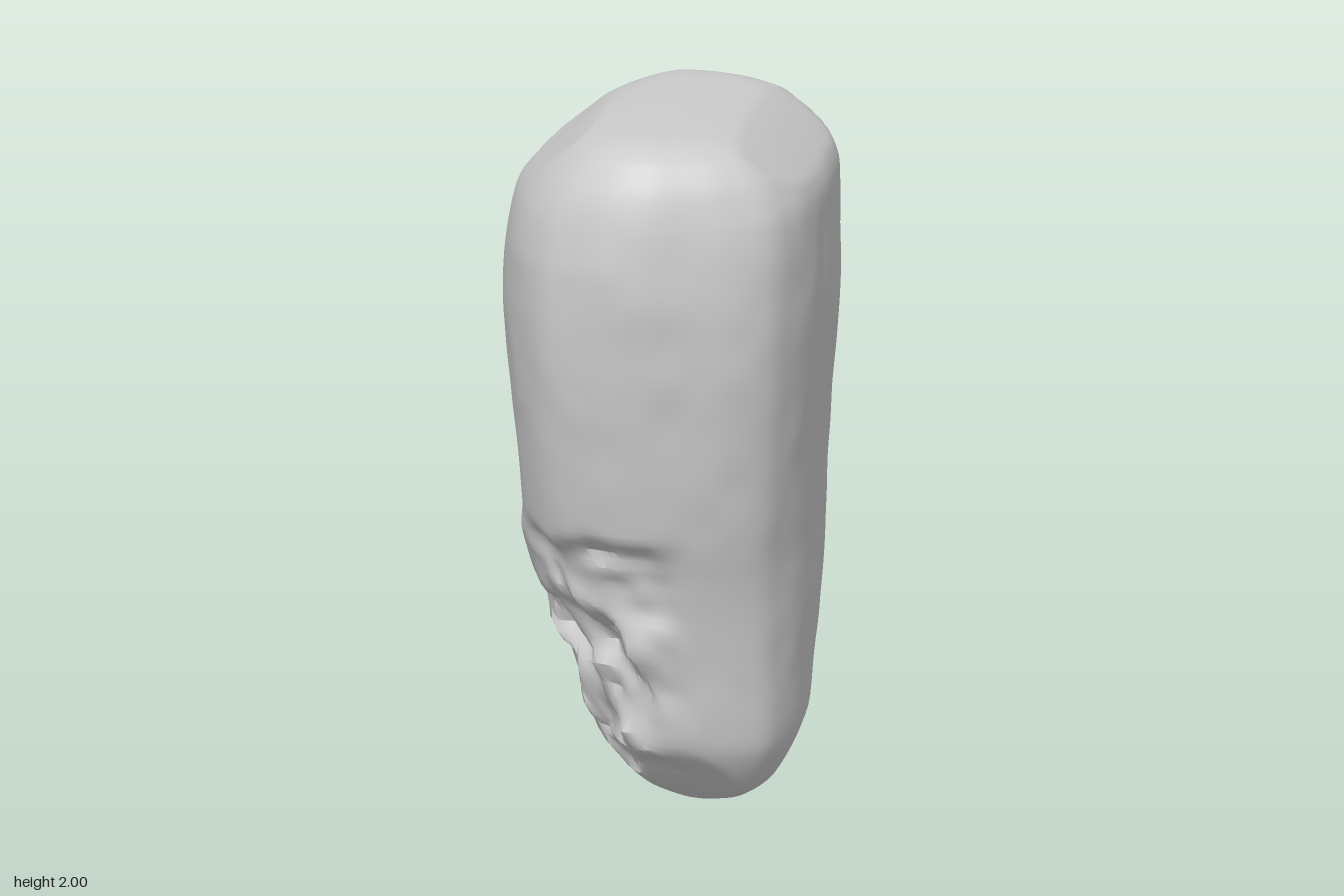
import * as THREE from 'three';
import { toCreasedNormals } from 'three/addons/utils/BufferGeometryUtils.js';

const { smoothstep, lerp } = THREE.MathUtils;

// Seeded value noise in 3D, range -1..1
function hash(x, y, z) {
  let h = Math.imul(x, 374761393) ^ Math.imul(y, 668265263) ^ Math.imul(z, 1274126177);
  h = Math.imul(h ^ (h >>> 13), 1103515245);
  return (((h ^ (h >>> 16)) >>> 0) / 4294967295) * 2 - 1;
}
function noise(x, y, z) {
  const ix = Math.floor(x), iy = Math.floor(y), iz = Math.floor(z);
  const s = t => t * t * (3 - 2 * t);
  const u = s(x - ix), v = s(y - iy), w = s(z - iz);
  const row = (b, c) => lerp(hash(ix, iy + b, iz + c), hash(ix + 1, iy + b, iz + c), u);
  return lerp(lerp(row(0, 0), row(1, 0), v), lerp(row(0, 1), row(1, 1), v), w);
}

// Extents of the stone by height: y, xMin, xMax, zMin, zMax
const levels = [
  [0, 0.13, 0.13, 0.01, 0.01], [0.004, 0.08, 0.18, -0.04, 0.07], [0.02, 0.03, 0.24, -0.1, 0.13],
  [0.07, -0.08, 0.31, -0.21, 0.2], [0.2, -0.21, 0.37, -0.31, 0.285], [0.4, -0.3, 0.385, -0.41, 0.325],
  [0.58, -0.345, 0.39, -0.45, 0.352], [0.72, -0.385, 0.395, -0.46, 0.382],
  [0.85, -0.402, 0.405, -0.46, 0.418], [1.0, -0.412, 0.415, -0.465, 0.448], [1.2, -0.432, 0.427, -0.475, 0.47],
  [1.35, -0.443, 0.438, -0.475, 0.485], [1.5, -0.448, 0.446, -0.475, 0.488], [1.65, -0.44, 0.447, -0.468, 0.48],
  [1.78, -0.41, 0.44, -0.455, 0.46], [1.88, -0.34, 0.39, -0.43, 0.43], [1.95, -0.26, 0.31, -0.405, 0.385],
  [1.985, -0.16, 0.2, -0.36, 0.32], [1.997, -0.07, 0.09, -0.28, 0.22], [2, 0.01, 0.01, -0.03, -0.03],
];

// Cross-section, fitted to -1..1, running from +x towards +z
const outline = [
  [1, 0], [0.98, 0.25], [0.92, 0.48], [0.82, 0.68], [0.6, 0.83], [0.3, 0.93], [0, 1],
  [-0.3, 0.99], [-0.62, 0.87], [-0.85, 0.58], [-0.97, 0.25], [-1, 0], [-0.94, -0.25],
  [-0.79, -0.6], [-0.61, -0.82], [-0.33, -0.97], [0, -1], [0.4, -0.98], [0.72, -0.92],
  [0.93, -0.78], [0.985, -0.45],
];

// Flat facets worn into the foot and the upper edges: unit normal and distance
const facets = [
  [[0, -0.54, -0.85], 0.14], [[0, -0.66, 0.75], 0.077], [[-0.55, -0.45, -0.7], 0.165],
  [[0.6, -0.45, -0.66], 0.335], [[0.62, 0.78, 0], 1.69], [[-0.62, 0.78, 0], 1.66],
].map(([n, d]) => [new THREE.Vector3(...n).normalize(), d]);

// Distance of the broken front corner's face along the (-x, +z) diagonal
function breakLimit(y) {
  return y > 0.46 ? lerp(0.24, 0.47, smoothstep(y, 0.46, 0.83)) : lerp(0.19, 0.24, smoothstep(y, 0.1, 0.46));
}

function shapePoint(p, u, v) {
  const { x, y, z } = p;
  const rough = noise(x * 7 + 5, y * 8, z * 7) * 0.65 + noise(x * 15, y * 16 + 3, z * 15) * 0.35;
  const ledges = Math.abs(noise(x * 3 + 9, y * 7 + x * 3, z * 3));
  const radial = new THREE.Vector3(u, 0, v).normalize();
  const body = smoothstep(y, 0.02, 0.3) * (1 - smoothstep(y, 1.8, 1.97));

  // gentle worn planes over the whole stone
  p.addScaledVector(radial, body * (0.009 * noise(x * 4, y * 3, z * 4) + 0.003 * noise(x * 11, y * 9, z * 11)));
  for (const [normal, distance] of facets) {
    const over = p.dot(normal) - distance;
    if (over > 0) p.addScaledVector(normal, -0.8 * over);
  }

  // rough fractured upper back
  const back = smoothstep(-v - 0.35 * u, 0.35, 0.8) * smoothstep(y, 0.75, 1.2) * (1 - smoothstep(y, 1.8, 1.93));
  p.addScaledVector(radial, back * (0.032 * rough - 0.04 * ledges + 0.012));

  // broken lower front corner, clipped back and roughened
  if (y < 0.9) {
    const excess = (p.z - p.x) * Math.SQRT1_2 - breakLimit(y) - 0.05 * rough - 0.02 * ledges;
    if (excess > 0) {
      const push = excess * smoothstep(y, 0.01, 0.12) * Math.SQRT1_2;
      p.x += push;
      p.z -= push;
    }
    const front = smoothstep(v - u * 0.8, 0.6, 1.1) * smoothstep(y, 0.08, 0.2) * (1 - smoothstep(y, 0.78, 0.86));
    p.addScaledVector(radial, front * (0.04 * rough - 0.02 * ledges));
    p.y += front * 0.012 * noise(x * 12 + 2, y * 12, z * 12);
    // shallow hollow with a ledge above it
    p.z -= 0.03 * smoothstep(v, 0.5, 0.85) * (1 - smoothstep(x, 0.02, 0.16))
      * smoothstep(y, 0.5, 0.72) * (1 - smoothstep(y + 0.03 * rough, 0.78, 0.85));
  }
  return p;
}

function stoneGeometry() {
  const steps = 6, around = 120;
  const rings = (levels.length - 1) * steps;
  const curve = (a, b) => new THREE.CatmullRomCurve3(
    levels.map(l => new THREE.Vector3(l[a], l[0], l[b])), false, 'catmullrom', 0.4);
  const xs = curve(1, 2), zs = curve(3, 4);
  const section = new THREE.CatmullRomCurve3(
    outline.map(([u, v]) => new THREE.Vector3(u, 0, v)), true).getSpacedPoints(around);

  const positions = [], index = [];
  for (let i = 0; i <= rings; i++) {
    const a = xs.getPoint(i / rings), b = zs.getPoint(i / rings);
    for (let j = 0; j < around; j++) {
      const { x: u, z: v } = section[j];
      const p = new THREE.Vector3(
        (a.x + a.z) / 2 + u * (a.z - a.x) / 2,
        THREE.MathUtils.clamp(a.y, 0, 2),
        (b.x + b.z) / 2 + v * (b.z - b.x) / 2);
      positions.push(...shapePoint(p, u, v));
      if (i === rings) continue;
      const k = (j + 1) % around, lo = i * around, hi = lo + around;
      if (i < rings - 1) index.push(lo + j, hi + j, hi + k);
      if (i > 0) index.push(lo + j, hi + k, lo + k);
    }
  }
  const geometry = new THREE.BufferGeometry();
  geometry.setAttribute('position', new THREE.Float32BufferAttribute(positions, 3));
  geometry.setIndex(index);
  return toCreasedNormals(geometry, 0.6);
}

export function createModel() {
  const group = new THREE.Group();
  group.name = 'standingStone';
  const stone = new THREE.Mesh(stoneGeometry(), new THREE.MeshStandardMaterial({ color: 0xcccccc }));
  stone.name = 'stone';
  group.add(stone);
  return group;
}
